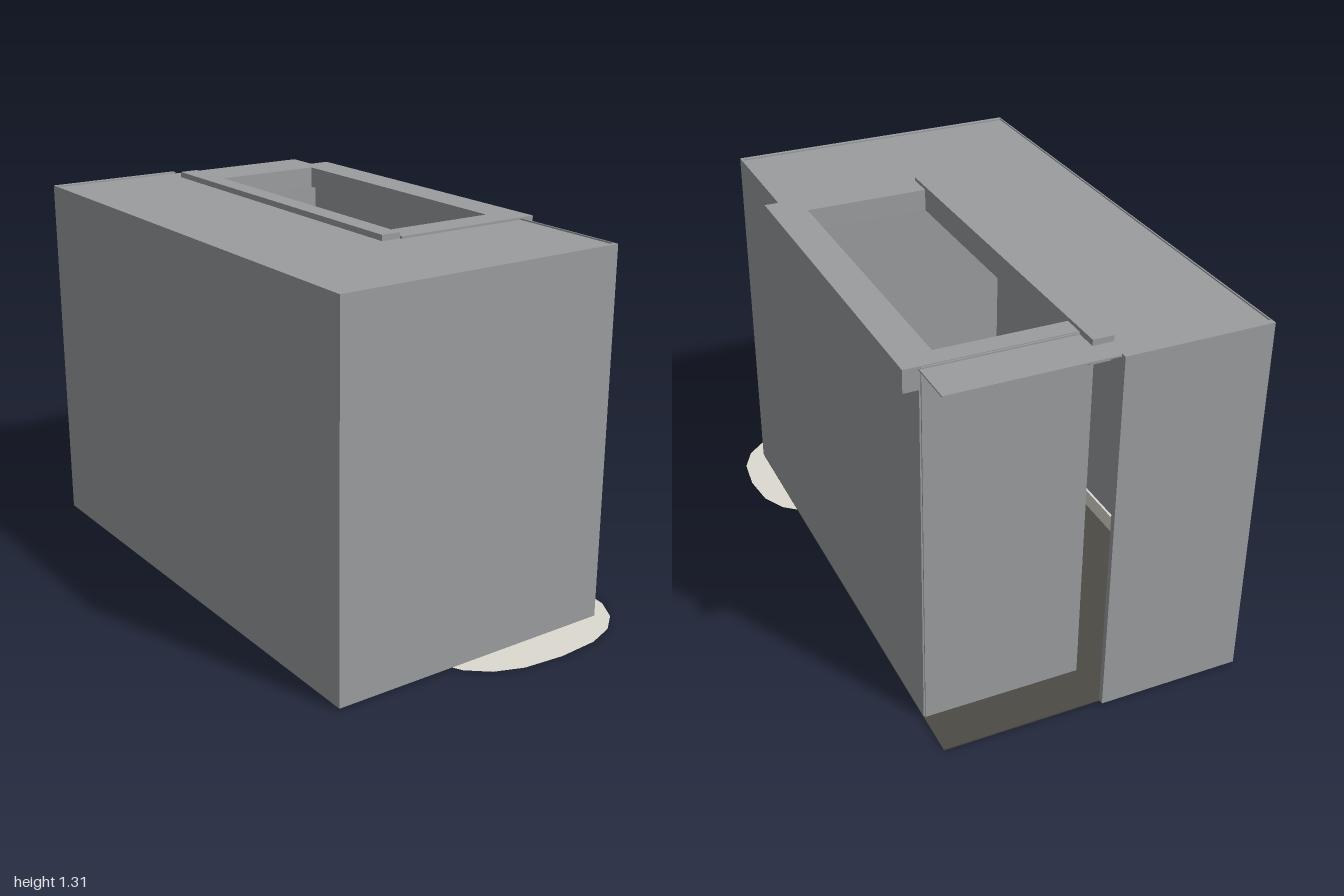
import * as THREE from 'three';

const material = (color) => new THREE.MeshStandardMaterial({ color, side: THREE.DoubleSide });

export function createModel() {
  const group = new THREE.Group();
  const grey = material(0x9a9c9e);
  const dark = material(0x4c4a44);
  const cream = material(0xdcdad0);

  // Box given by its limits on each axis
  function block(name, [x0, x1], [y0, y1], [z0, z1], mat = grey) {
    const mesh = new THREE.Mesh(new THREE.BoxGeometry(x1 - x0, y1 - y0, z1 - z0), mat);
    mesh.position.set((x0 + x1) / 2, (y0 + y1) / 2, (z0 + z1) / 2);
    mesh.name = name;
    group.add(mesh);
  }

  // Hollow cabinet walls, with the back open beside the set-in panel
  const wallY = [0.006, 1.293];
  block('frontPanel', [-0.58, 0.47], wallY, [0.845, 0.86]);
  block('leftSidePanel', [0.465, 0.47], wallY, [-0.82, 0.845]);
  block('rightSidePanel', [-0.58, -0.575], wallY, [-0.98, 0.845]);
  block('outerBackPanel', [-0.58, -0.08], wallY, [-1, -0.98]);
  block('innerBackPanel', [-0.08, 0.465], wallY, [-0.825, -0.82]);

  // Top plate with a rectangular opening
  const plate = new THREE.Shape([
    [-0.575, -0.98], [0.47, -0.98], [0.47, 0.845], [-0.575, 0.845],
  ].map(([x, z]) => new THREE.Vector2(x, -z)));
  plate.holes.push(new THREE.Path([
    [-0.03, -0.75], [0.4, -0.75], [0.4, 0.31], [-0.03, 0.31],
  ].map(([x, z]) => new THREE.Vector2(x, -z))));
  const top = new THREE.Mesh(new THREE.ExtrudeGeometry(plate, { depth: 0.005, bevelEnabled: false }), grey);
  top.rotation.x = -Math.PI / 2;
  top.position.y = 1.283;
  top.name = 'topPlate';
  group.add(top);

  // Frame around the opening and the raised strip along it
  const frameY = [1.22, 1.296];
  block('frameOuterRail', [0.4, 0.52], frameY, [-0.82, 0.41]);
  block('frameInnerRail', [-0.1, -0.03], [1.22, 1.285], [-0.89, 0.41]);
  block('frameFrontRail', [-0.03, 0.4], frameY, [0.31, 0.41]);
  block('frameBackRail', [-0.03, 0.4], frameY, [-0.82, -0.75]);
  block('topStrip', [-0.1, -0.03], [1.288, 1.308], [-0.9, 0.4]);

  // Floor plate and the low skirting inside
  block('floorPlate', [-0.575, 0.47], [0, 0.005], [-0.98, 0.845], dark);
  block('innerSkirting', [-0.574, -0.565], [0.006, 0.07], [-0.97, 0.84], cream);

  // Flat rounded patch at the front left corner
  const patch = new THREE.Shape();
  for (let i = 0; i < 20; i++) {
    const a = (i / 20) * Math.PI * 2;
    const bulge = (v) => Math.sign(v) * Math.abs(v) ** 0.8;
    patch[i ? 'lineTo' : 'moveTo'](0.195 + 0.38 * bulge(Math.cos(a)), -0.68 + 0.32 * bulge(Math.sin(a)));
  }
  const pad = new THREE.Mesh(new THREE.ShapeGeometry(patch), cream);
  pad.rotation.x = -Math.PI / 2;
  pad.position.y = 0.003;
  pad.name = 'groundPatch';
  group.add(pad);

  return group;
}
